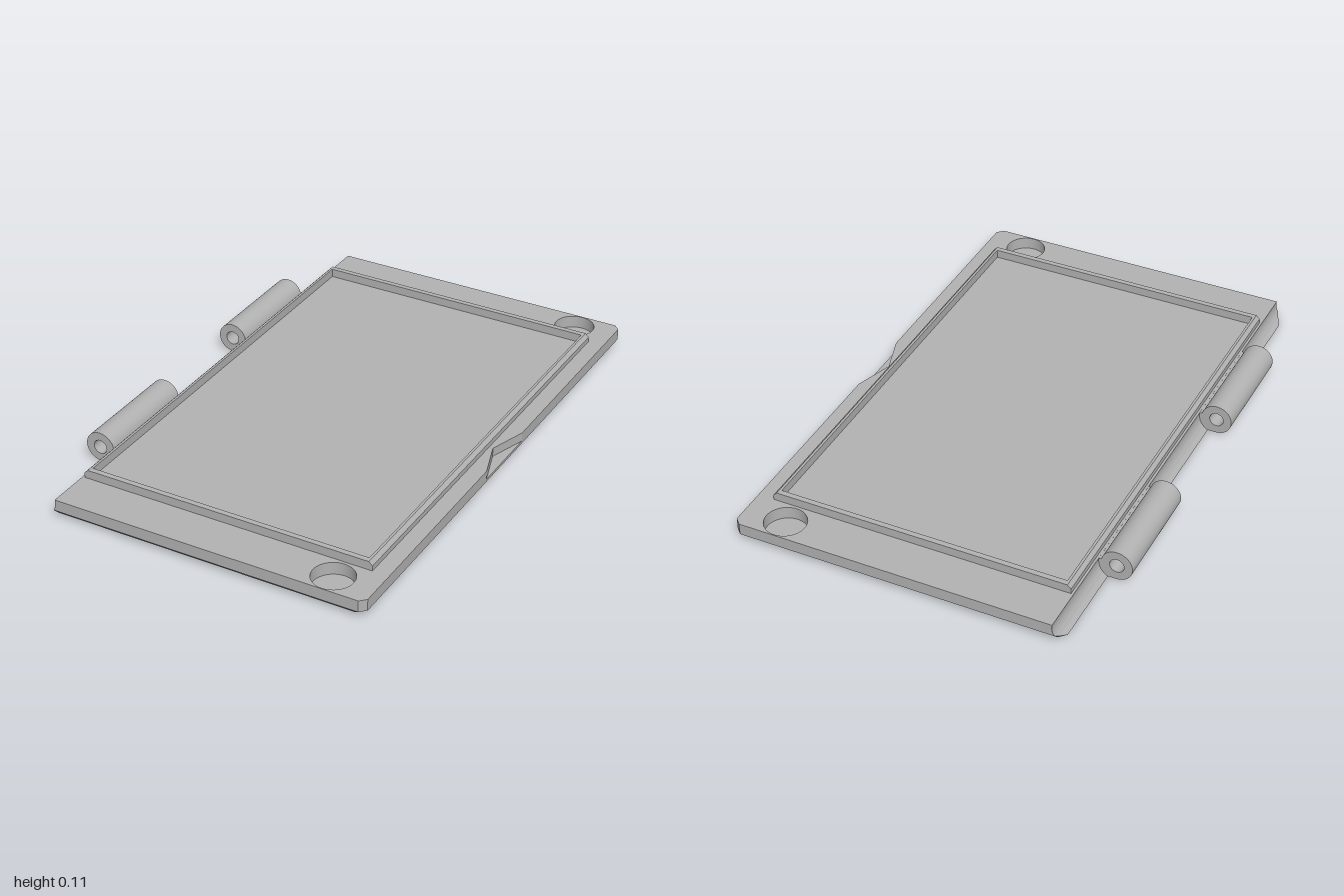
import * as THREE from 'three';

const grey = new THREE.MeshStandardMaterial({ color: 0xb2b2b2, side: THREE.DoubleSide });
const TOP = 0.068, RIM = 0.1;
const PIN = { x: -0.593, y: 0.057, r: 0.056, hole: 0.026, clear: 0.065 };
const POCKET = { x: 0.49, z: 0.922, r: 0.074, floor: 0.022 };

function add(parent, name, geometry, x = 0, y = 0, z = 0) {
  const mesh = new THREE.Mesh(geometry, grey);
  mesh.name = name;
  mesh.position.set(x, y, z);
  parent.add(mesh);
  return mesh;
}

const shapeOf = (pts) => new THREE.Shape(pts.map(([x, y]) => new THREE.Vector2(x, y)));
const extrude = (shape, depth) =>
  new THREE.ExtrudeGeometry(shape, { depth, bevelEnabled: false, curveSegments: 32 });

// Plan outline of the plate (x, z) at height y; the left edge follows the hinge clearance arc
function outline(y, notched) {
  const d = Math.max(0, 0.025 - y), R = 0.645 - d, Z = 1 - d, c = 0.022;
  const L = PIN.x + Math.sqrt(PIN.clear ** 2 - (y - PIN.y) ** 2);
  const cornerX = Math.max(L + 0.0005, -0.538);
  const zl = Math.min(Z - 0.0005, Z - 0.025 + (L + 0.562) * 1.1);
  return [
    [L, zl], [cornerX, Z], [R - c, Z], [R, Z - c],
    [R, 0.14], [notched ? 0.6 : R, 0], [R, -0.14],
    [R, -Z + c], [R - c, -Z], [cornerX, -Z], [L, -zl],
  ];
}

// Flat-faced skin through a stack of outlines
function plateWalls(levels) {
  const rings = levels.map(([y, n]) => outline(y, n).map(([x, z]) => [x, y, z]));
  const pos = [];
  for (let i = 0; i < rings.length - 1; i++) {
    const lo = rings[i], hi = rings[i + 1];
    for (let j = 0; j < lo.length; j++) {
      const k = (j + 1) % lo.length;
      pos.push(...lo[j], ...lo[k], ...hi[k], ...lo[j], ...hi[k], ...hi[j]);
    }
  }
  const g = new THREE.BufferGeometry();
  g.setAttribute('position', new THREE.Float32BufferAttribute(pos, 3));
  g.computeVertexNormals();
  return g;
}

// Rectangle with its corners cut off by c
function cutRect(x0, x1, z0, z1, c) {
  return [[x0 + c, z0], [x1 - c, z0], [x1, z0 + c], [x1, z1 - c],
    [x1 - c, z1], [x0 + c, z1], [x0, z1 - c], [x0, z0 + c]];
}

function buildPlate(root) {
  const plate = new THREE.Group();
  plate.name = 'lidPlate';
  root.add(plate);
  add(plate, 'plateEdges', plateWalls([
    [0, false], [0.012, false], [0.025, false], [0.035, false],
    [0.035, true], [0.046, true], [0.057, true], [TOP, true]]));

  // top face with two round pockets
  const top = shapeOf(outline(TOP, true).map(([x, z]) => [x, -z]));
  for (const s of [-1, 1]) {
    top.holes.push(new THREE.Path().absarc(POCKET.x, s * POCKET.z, POCKET.r, 0, Math.PI * 2, true));
    const h = TOP - POCKET.floor;
    add(plate, 'magnetPocketWall', new THREE.CylinderGeometry(POCKET.r, POCKET.r, h, 48, 1, true),
      POCKET.x, POCKET.floor + h / 2, s * POCKET.z);
    add(plate, 'magnetPocketFloor', new THREE.CircleGeometry(POCKET.r, 48).rotateX(-Math.PI / 2),
      POCKET.x, POCKET.floor, s * POCKET.z);
  }
  add(plate, 'topFace', new THREE.ShapeGeometry(top, 24).rotateX(-Math.PI / 2), 0, TOP, 0);
}

// Underside: border, recessed floor and panels that leave a grid of grooves
function buildUnderside(root) {
  const under = new THREE.Group();
  under.name = 'underside';
  root.add(under);
  const x0 = -0.49, x1 = 0.55, z1 = 0.89, depth = 0.005, gap = 0.004, cut = 0.05;
  const frame = cutRect(x0, x1, -z1, z1, cut);
  const border = shapeOf(outline(0, false));
  border.holes.push(shapeOf(frame));
  add(under, 'bottomBorder', new THREE.ShapeGeometry(border).rotateX(Math.PI / 2));
  add(under, 'grooveFloor', new THREE.ShapeGeometry(shapeOf(frame)).rotateX(Math.PI / 2), 0, depth, 0);
  add(under, 'grooveOuterWall', extrude(shapeOf(frame), depth - 0.0005).rotateX(Math.PI / 2), 0, depth, 0)
    .visible = false;

  const cols = 4, rows = 7, w = (x1 - x0) / cols, d = (2 * z1) / rows;
  for (let i = 0; i < cols; i++) {
    for (let j = 0; j < rows; j++) {
      const a = x0 + i * w + gap, b = x0 + (i + 1) * w - gap;
      const c = -z1 + j * d + gap, e = -z1 + (j + 1) * d - gap;
      const left = i === 0, right = i === cols - 1, back = j === 0, front = j === rows - 1;
      const pts = [];
      const corner = (x, z, isCut, p, q) => isCut ? pts.push(p, q) : pts.push([x, z]);
      corner(a, c, left && back, [a, c + cut], [a + cut, c]);
      corner(b, c, right && back, [b - cut, c], [b, c + cut]);
      corner(b, e, right && front, [b, e - cut], [b - cut, e]);
      corner(a, e, left && front, [a + cut, e], [a, e - cut]);
      add(under, 'gridPanel', extrude(shapeOf(pts), depth).rotateX(Math.PI / 2), 0, depth, 0);
    }
  }

  // plain target of rings and ticks
  const target = new THREE.Group();
  target.name = 'targetMark';
  target.position.set(0.13, -0.0005, 0.22);
  under.add(target);
  for (const r of [0.06, 0.125, 0.14]) {
    add(target, 'targetRing', new THREE.RingGeometry(r - 0.004, r, 48).rotateX(Math.PI / 2));
  }
  for (let k = 0; k < 8; k++) {
    const t = (k * Math.PI) / 4;
    add(target, 'targetTick', new THREE.BoxGeometry(0.07, 0.001, 0.006),
      Math.cos(t) * 0.165, 0, Math.sin(t) * 0.165).rotation.y = -t;
  }
}

// Raised rim with chamfered long sides
function buildRim(root) {
  const rim = new THREE.Group();
  rim.name = 'rim';
  root.add(rim);
  const x0 = -0.52, x1 = 0.585, c = 0.013, t = 0.022, z = 0.838, e = 0.02, lo = TOP - 0.002;
  const end = shapeOf([[x0, lo], [x1, lo], [x1, RIM - c], [x1 - c, RIM], [x0 + c, RIM], [x0, RIM - c]]);
  add(rim, 'rimFront', extrude(end, e), 0, 0, z - e);
  add(rim, 'rimBack', extrude(end, e), 0, 0, -z);
  for (const [name, x, s] of [['rimRight', x0, 1], ['rimLeft', x1, -1]]) {
    const side = shapeOf([[x, lo], [x + s * t, lo], [x + s * t, RIM], [x + s * c, RIM], [x, RIM - c]]);
    add(rim, name, extrude(side, 2 * (z - e)), 0, 0, -(z - e));
  }
}

// Hinge knuckles with a pin hole and a web joining the plate
function buildHinges(root) {
  const s = new THREE.Shape();
  s.absarc(PIN.x, PIN.y, PIN.r, 0.19, Math.PI * 1.5, false);
  s.lineTo(-0.527, PIN.y - PIN.r);
  s.lineTo(-0.527, TOP - 0.0005);
  s.holes.push(new THREE.Path().absarc(PIN.x, PIN.y, PIN.hole, 0, Math.PI * 2, true));
  for (const z of [-0.64, 0.23]) add(root, 'hingeKnuckle', extrude(s, 0.41), 0, 0, z);
}

export function createModel() {
  const root = new THREE.Group();
  root.name = 'hingedLid';
  buildPlate(root);
  buildUnderside(root);
  buildRim(root);
  buildHinges(root);
  return root;
}
